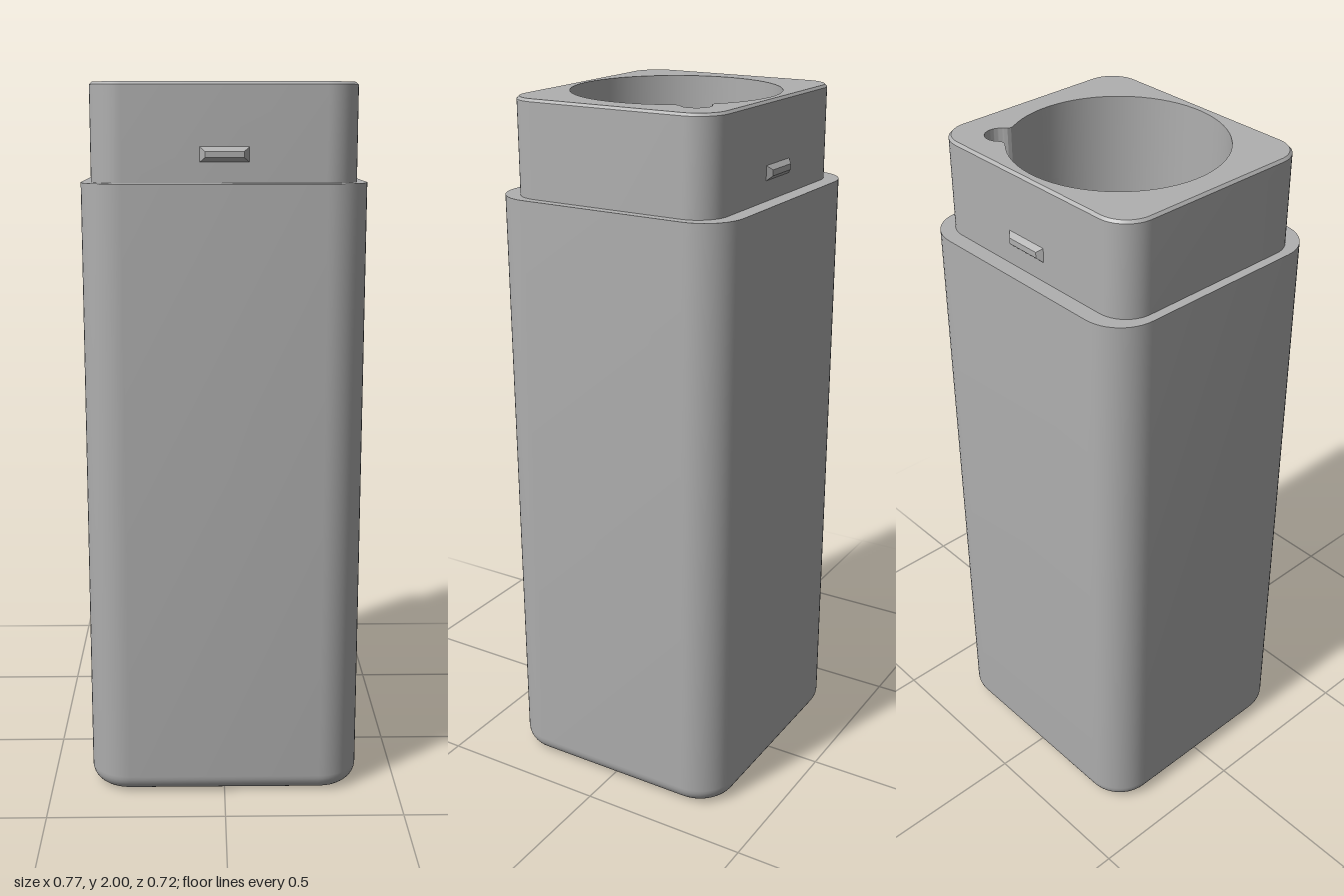
import * as THREE from 'three';
import { toCreasedNormals } from 'three/addons/utils/BufferGeometryUtils.js';

// Rounded rectangle in plan; shape y points to -z
function roundedRect(hx, hz, r) {
  const s = new THREE.Shape();
  s.absarc(hx - r, hz - r, r, 0, Math.PI / 2);
  s.absarc(-hx + r, hz - r, r, Math.PI / 2, Math.PI);
  s.absarc(-hx + r, -hz + r, r, Math.PI, Math.PI * 1.5);
  s.absarc(hx - r, -hz + r, r, Math.PI * 1.5, Math.PI * 2);
  return s;
}

// Skin between rings [points, y]; rising rings face outward, falling rings inward
function loft(rings) {
  const pos = [], index = [], n = rings[0][0].length;
  for (const [pts, y] of rings) for (const p of pts) pos.push(p.x, y, -p.y);
  for (let j = 0; j < rings.length - 1; j++) {
    for (let i = 0; i < n; i++) {
      const k = (i + 1) % n, a = j * n + i, b = j * n + k;
      index.push(a, b, b + n, a, b + n, a + n);
    }
  }
  const g = new THREE.BufferGeometry();
  g.setAttribute('position', new THREE.Float32BufferAttribute(pos, 3));
  g.setIndex(index);
  return toCreasedNormals(g, 0.5);
}

// Round bore joined to a small side notch by two fillets
function boreOutline() {
  const R = 0.29, r = 0.041, f = 0.02, D = 0.308, a = 0.703;
  const d = Math.acos((D * D + (R + f) ** 2 - (r + f) ** 2) / (2 * D * (R + f)));
  const at = (angle, len) => new THREE.Vector2(Math.cos(angle) * len, Math.sin(angle) * len);
  const N = at(a, D), F1 = at(a + d, R + f), F2 = at(a - d, R + f);
  const dir = (p, q) => Math.atan2(q.y - p.y, q.x - p.x);
  const path = new THREE.Path();
  path.absarc(0, 0, R, a + d, a - d + Math.PI * 2, false);
  path.absarc(F2.x, F2.y, f, a - d + Math.PI, dir(F2, N), true);
  path.absarc(N.x, N.y, r, dir(N, F2), dir(N, F1), false);
  path.absarc(F1.x, F1.y, f, dir(F1, N), a + d + Math.PI, true);
  return path;
}

export function createModel() {
  const model = new THREE.Group();
  const grey = new THREE.MeshStandardMaterial({ color: 0xb0b0b0 });
  grey.name = 'grey';
  const add = (name, geometry) => {
    const mesh = new THREE.Mesh(geometry, grey);
    mesh.name = name;
    model.add(mesh);
    return mesh;
  };
  const flat = (shape, y, up = true) =>
    new THREE.ShapeGeometry(shape, 32).rotateX(up ? -Math.PI / 2 : Math.PI / 2).translate(0, y, 0);

  const HX = 0.387, HZ = 0.36, CORNER = 0.115, FILLET = 0.05;
  const NX = 0.361, NZ = 0.315, NECK_CORNER = 0.088, CHAMFER = 0.007;
  const SHOULDER = 1.737, TOP = 2, FLOOR = 0.1;
  const bodyRing = (inset) => roundedRect(HX - inset, HZ - inset, CORNER - inset).getPoints(6);
  const neck = roundedRect(NX, NZ, NECK_CORNER).getPoints(6);

  // Body with filleted foot and flat shoulder
  const rings = [];
  for (let i = 0; i <= 8; i++) {
    const t = (i / 8) * Math.PI / 2;
    rings.push([bodyRing(FILLET * (1 - Math.sin(t))), FILLET * (1 - Math.cos(t))]);
  }
  rings.push([bodyRing(0), SHOULDER], [neck, SHOULDER]);
  add('body', loft(rings));
  add('base', flat(roundedRect(HX - FILLET, HZ - FILLET, CORNER - FILLET), 0, false));

  // Neck with a chamfered rim
  const rim = roundedRect(NX - CHAMFER, NZ - CHAMFER, NECK_CORNER - CHAMFER);
  add('neck', loft([[neck, SHOULDER], [neck, TOP - CHAMFER], [rim.getPoints(6), TOP]]));

  // Top face, bore wall and bore floor
  const bore = boreOutline();
  rim.holes.push(bore);
  add('topFace', flat(rim, TOP));
  const borePoints = bore.getPoints(32);
  add('boreWall', loft([[borePoints, TOP], [borePoints, FLOOR]]));
  add('boreFloor', flat(new THREE.Shape(borePoints), FLOOR));

  // Snap catches on the front and back of the neck
  const rect = (x, y) => [[x, y], [-x, y], [-x, -y], [x, -y]].map((p) => new THREE.Vector2(...p));
  const catchGeometry = loft([[rect(0.066, 0.02), 0], [rect(0.052, 0.008), 0.013], [rect(0, 0), 0.013]])
    .rotateX(Math.PI / 2).translate(0, 1.812, NZ);
  add('frontCatch', catchGeometry);
  add('backCatch', catchGeometry).rotation.y = Math.PI;

  return model;
}
